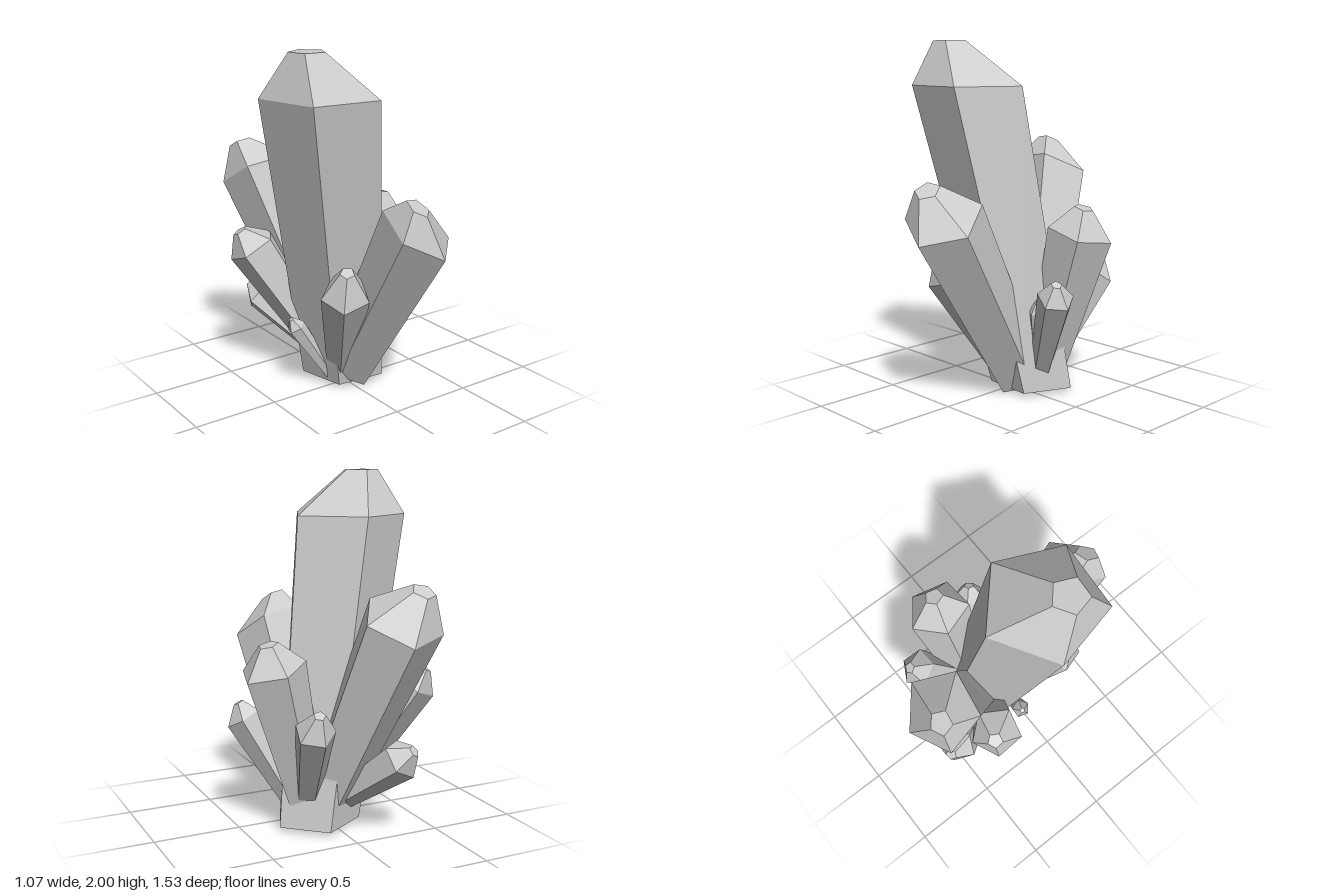
import * as THREE from 'three';
import { ConvexGeometry } from 'three/addons/geometries/ConvexGeometry.js';

const UP = new THREE.Vector3(0, 1, 0);
const V = (x, y, z) => new THREE.Vector3(x, y, z);

// Five even corners around a centre, square to the line from the foot.
function evenShoulder(foot, center, radius, roll) {
  const turn = new THREE.Quaternion().setFromUnitVectors(UP, center.clone().sub(foot).normalize());
  return Array.from({ length: 5 }, (_, i) => {
    const a = roll + (i / 5) * Math.PI * 2;
    return V(Math.cos(a), 0, Math.sin(a)).multiplyScalar(radius).applyQuaternion(turn).add(center);
  });
}

// Uneven corners given in plan and lifted onto a sloping plane.
const slopedShoulder = (plan, height) => plan.map(([x, z]) => V(x, height(x, z), z));

export function createModel() {
  const group = new THREE.Group();
  group.name = 'crystalCluster';
  const material = new THREE.MeshStandardMaterial({ color: 0xcccccc, flatShading: true });

  // Tapered five-sided column with a bevelled, cut-off point; foot and tip repeat the shoulder smaller.
  function addCrystal(name, shoulder, foot, tip, footScale, tipScale) {
    const middle = shoulder.reduce((sum, p) => sum.add(p), V(0, 0, 0)).divideScalar(5);
    const copy = (center, scale) =>
      shoulder.map((p) => p.clone().sub(middle).multiplyScalar(scale).add(center));
    const points = [...copy(foot, footScale), ...shoulder, ...copy(tip, tipScale)];
    const mesh = new THREE.Mesh(new ConvexGeometry(points), material);
    mesh.name = name;
    group.add(mesh);
  }

  function addEvenCrystal(name, foot, center, tip, radius, roll) {
    addCrystal(name, evenShoulder(foot, center, radius, roll), foot, tip, 0.6, 0.3);
  }

  // Three large uneven crystals
  addCrystal('mainCrystal',
    slopedShoulder([[-0.54, -0.03], [-0.19, -0.24], [0.11, 0.03], [-0.05, 0.39], [-0.45, 0.355]], () => 1.75),
    V(0.07, 0.02, -0.11), V(-0.345, 2, 0.15), 0.74, 0.3);
  addCrystal('frontCrystal',
    slopedShoulder([[-0.125, 0.68], [0.09, 0.765], [0.27, 0.585], [0.17, 0.39], [-0.08, 0.45]],
      (x, z) => 1.41 - 0.29 * x - 0.57 * z),
    V(0.033, 0.077, -0.01), V(0.01, 1.22, 0.635), 0.7, 0.33);
  addCrystal('backCrystal',
    slopedShoulder([[-0.18, -0.765], [0.01, -0.6], [-0.12, -0.39], [-0.385, -0.43], [-0.42, -0.66]],
      (x, z) => 1.564 + 0.08 * x + 0.574 * z),
    V(0.03, 0.1, -0.14), V(-0.31, 1.385, -0.63), 0.65, 0.3);

  // Medium crystals around the sides
  addEvenCrystal('leftCrystal', V(0.14, 0.12, -0.14), V(0.36, 0.94, -0.18), V(0.385, 1.08, -0.18), 0.19, 0.91);
  addEvenCrystal('rightCrystal', V(-0.03, 0.12, -0.12), V(-0.41, 0.83, -0.35), V(-0.465, 0.92, -0.4), 0.15, -0.09);
  addEvenCrystal('frontRightCrystal', V(-0.03, 0.08, 0), V(-0.21, 0.68, 0.295), V(-0.23, 0.825, 0.34), 0.14, -0.28);
  addEvenCrystal('frontLeftCrystal', V(0.18, 0.12, -0.05), V(0.427, 0.615, 0.09), V(0.45, 0.7, 0.11), 0.105, 0.09);
  addEvenCrystal('backLeftCrystal', V(0.14, 0.12, -0.14), V(0.233, 0.64, -0.45), V(0.23, 0.745, -0.5), 0.115, -0.4);
  addEvenCrystal('backRightCrystal', V(-0.02, 0.12, -0.16), V(-0.25, 0.45, -0.53), V(-0.29, 0.51, -0.6), 0.12, 0.3);

  // Small crystals low in the cluster
  addEvenCrystal('smallRightCrystal', V(-0.1, 0.06, -0.02), V(-0.3, 0.39, -0.07), V(-0.325, 0.44, -0.08), 0.055, 0.3);
  addEvenCrystal('smallLeftCrystal', V(0.17, 0.1, -0.05), V(0.225, 0.49, 0.02), V(0.235, 0.555, 0.025), 0.055, 0.3);

  return group;
}
